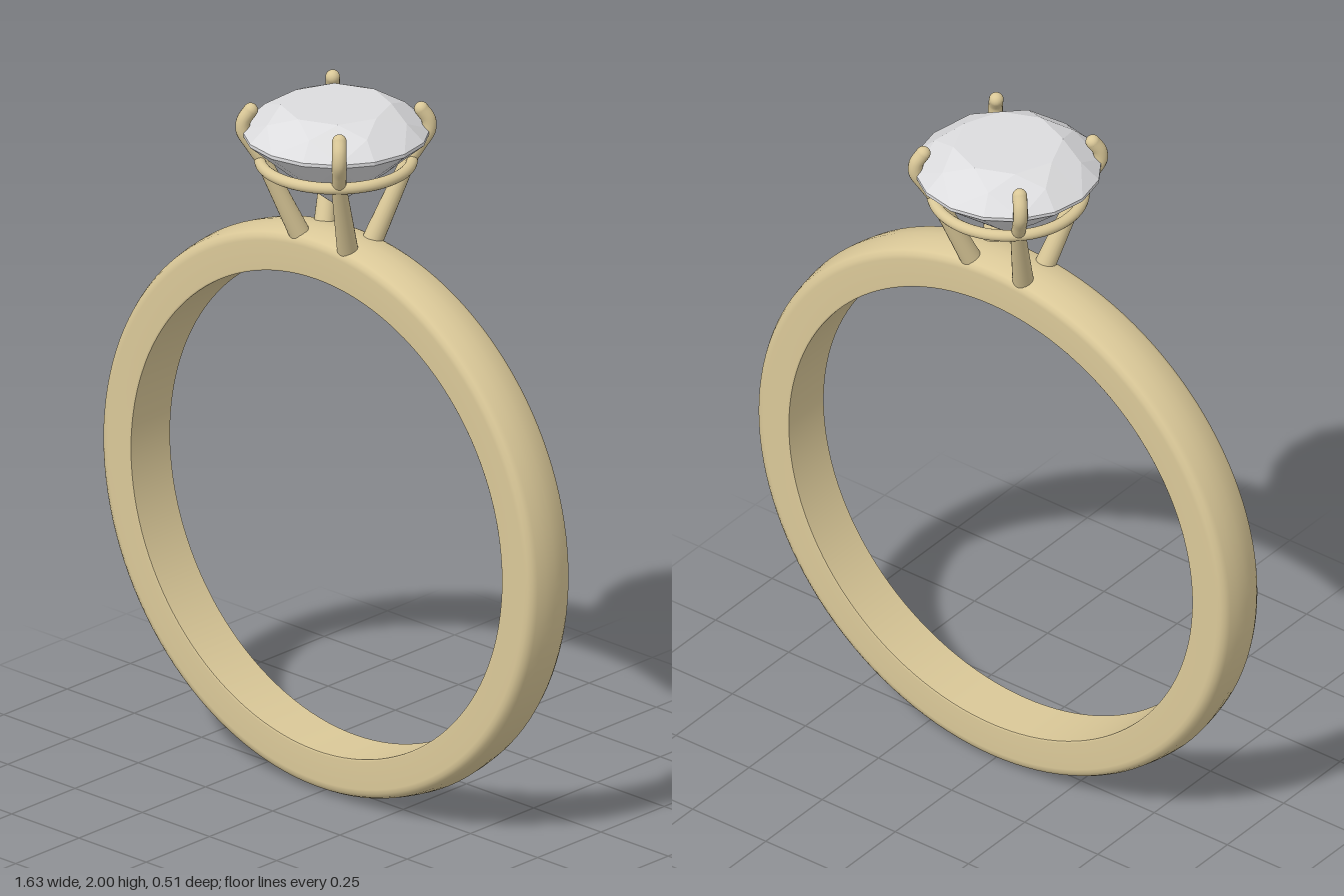
import * as THREE from 'three';

const gold = new THREE.MeshStandardMaterial({ color: 0xdac898 });
gold.name = 'pale gold';
const stone = new THREE.MeshStandardMaterial({ color: 0xdcdcde });
stone.name = 'clear stone';

function add(parent, name, geometry, material) {
  const mesh = new THREE.Mesh(geometry, material);
  mesh.name = name;
  parent.add(mesh);
  return mesh;
}

// Band: lathed outer shell with rounded shoulders, plus a crisp inner wall
function makeBand() {
  const band = new THREE.Group();
  band.name = 'band';
  const half = [[0.69, 0.077], [0.695, 0.08], [0.775, 0.08], [0.787, 0.078], [0.798, 0.071], [0.805, 0.058], [0.811, 0.03]];
  const outer = [
    ...half.map(([r, w]) => new THREE.Vector2(r, -w)),
    new THREE.Vector2(0.815, 0),
    ...half.map(([r, w]) => new THREE.Vector2(r, w)).reverse(),
  ];
  const inner = [new THREE.Vector2(0.69, 0.077), new THREE.Vector2(0.69, -0.077)];
  add(band, 'bandOuter', new THREE.LatheGeometry(outer, 128).rotateX(Math.PI / 2), gold);
  add(band, 'bandInner', new THREE.LatheGeometry(inner, 128).rotateX(Math.PI / 2), gold);
  band.position.y = 0.815;
  return band;
}

// Round brilliant cut: table, stars, kites, girdle and pavilion
function makeStone() {
  const ringOf = (count, r, y, offset = 0) => (i) => {
    const a = ((i + offset) / count) * Math.PI * 2;
    return [r * Math.sin(a), y, r * Math.cos(a)];
  };
  const T = ringOf(8, 0.15, 1.995);
  const M = ringOf(8, 0.205, 1.967, 0.5);
  const G = ringOf(16, 0.255, 1.92);
  const L = ringOf(16, 0.255, 1.91);
  const P = ringOf(8, 0.145, 1.815, 0.5);
  const centre = [0, 1.995, 0], culet = [0, 1.70, 0];
  const v = [];
  const tri = (a, b, c) => v.push(...a, ...b, ...c);
  for (let k = 0; k < 8; k++) {
    tri(centre, T(k), T(k + 1));
    tri(T(k), M(k), T(k + 1));
    tri(T(k), M(k - 1), G(2 * k));
    tri(T(k), G(2 * k), M(k));
    tri(culet, P(k), L(2 * k));
    tri(culet, L(2 * k), P(k - 1));
    for (const j of [2 * k, 2 * k + 1]) {
      tri(M(k), G(j), G(j + 1));
      tri(G(j), L(j), L(j + 1));
      tri(G(j), L(j + 1), G(j + 1));
      tri(P(k), L(j + 1), L(j));
    }
  }
  const geo = new THREE.BufferGeometry();
  geo.setAttribute('position', new THREE.Float32BufferAttribute(v, 3));
  geo.computeVertexNormals();
  return geo;
}

// Prong: tapered leg, curved claw and rounded tip, placed in one quadrant
function makeProng(sx, sz) {
  const prong = new THREE.Group();
  prong.name = 'prong';
  const at = (x, y, z) => new THREE.Vector3(x * sx, y, z * sz);
  const foot = at(0.09, 1.61, 0.05), knee = at(0.14, 1.83, 0.137);
  const dir = knee.clone().sub(foot);
  const leg = add(prong, 'prongLeg', new THREE.CylinderGeometry(0.021, 0.029, dir.length(), 20), gold);
  leg.position.copy(foot).add(knee).multiplyScalar(0.5);
  leg.quaternion.setFromUnitVectors(new THREE.Vector3(0, 1, 0), dir.normalize());
  const tip = at(0.165, 1.98, 0.162);
  const path = new THREE.CatmullRomCurve3([
    knee, at(0.163, 1.88, 0.16), at(0.179, 1.92, 0.177), at(0.178, 1.95, 0.176), tip,
  ]);
  add(prong, 'prongClaw', new THREE.TubeGeometry(path, 24, 0.02, 16), gold);
  add(prong, 'prongKnee', new THREE.SphereGeometry(0.021, 16, 12), gold).position.copy(knee);
  add(prong, 'prongTip', new THREE.SphereGeometry(0.02, 16, 12), gold).position.copy(tip);
  return prong;
}

export function createModel() {
  const model = new THREE.Group();
  model.name = 'ring';
  model.add(makeBand());

  // Setting: collar and four prongs around the stone
  const setting = new THREE.Group();
  setting.name = 'setting';
  const collar = new THREE.TorusGeometry(0.206, 0.016, 16, 72).rotateX(Math.PI / 2);
  add(setting, 'collar', collar, gold).position.y = 1.832;
  for (const sx of [-1, 1]) for (const sz of [-1, 1]) setting.add(makeProng(sx, sz));
  model.add(setting);

  add(model, 'stone', makeStone(), stone);
  return model;
}
